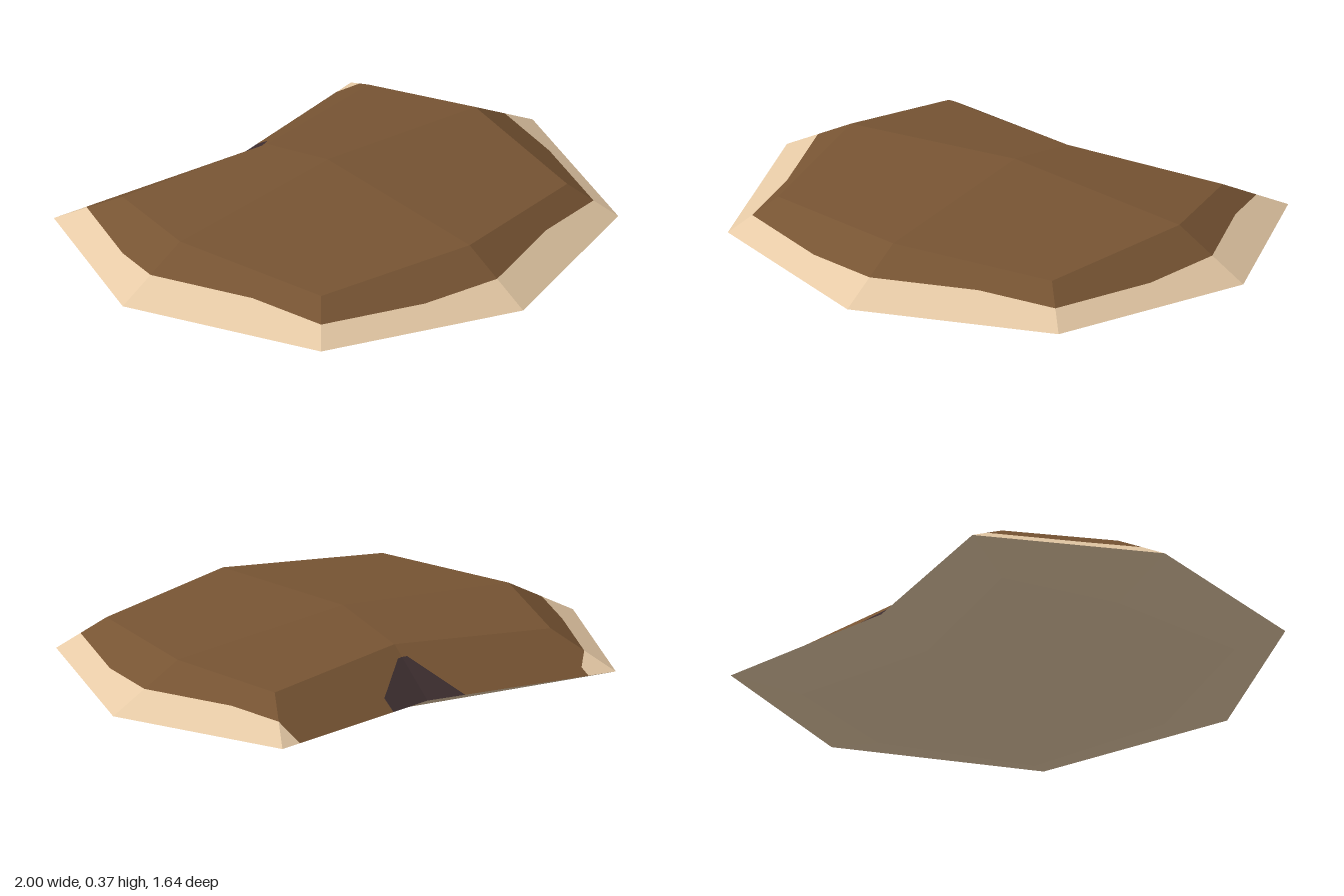
import * as THREE from 'three';

const V = (x, y, z) => new THREE.Vector3(x, y, z);
const mix = (a, b, t) => a.clone().lerp(b, t);

// Half outlines, from front tip round to the back notch: front, front corner, side, back corner, back
const RIM = [[0, 0.818], [0.725, 0.545], [1, -0.18], [0.725, -0.82], [0, -0.69]];
const INNER = [[0, 0.545], [0.6, 0.415], [0.72, -0.18], [0.6, -0.6], [0, -0.49]];
const RIM_Y = 0.15;
const TOP_Y = [0.305, 0.275, 0.305, 0.275, 0.305];
const BOTTOM_Y = [0.062, 0.09, 0.062, 0.09, 0.062];
const EDGE = 0.485; // how far up the bevel the pale rim reaches

function material(name, color) {
  const m = new THREE.MeshStandardMaterial({ color });
  m.name = name;
  return m;
}

// Flat shading normal of a four-cornered panel, pointing up (1) or down (-1)
function panelNormal(a, b, c, d, up) {
  const n = c.clone().sub(a).cross(d.clone().sub(b)).normalize();
  return n.y * up < 0 ? n.negate() : n;
}

export function createModel() {
  const group = new THREE.Group();
  group.name = 'shell';
  const parts = {};
  for (const name of ['shellTop', 'paleRim', 'tailPatch', 'underside']) {
    parts[name] = { position: [], normal: [] };
  }

  // Adds a polygon as a fan, wound to face along the panel normal
  const add = (part, n, ...pts) => {
    for (let i = 1; i < pts.length - 1; i++) {
      const tri = [pts[0], pts[i], pts[i + 1]];
      const face = tri[1].clone().sub(tri[0]).cross(tri[2].clone().sub(tri[0]));
      if (face.dot(n) < 0) tri.reverse();
      for (const p of tri) {
        parts[part].position.push(p.x, p.y, p.z);
        parts[part].normal.push(n.x, n.y, n.z);
      }
    }
  };

  for (const s of [1, -1]) {
    const rim = RIM.map(([x, z]) => V(s * x, RIM_Y, z));
    const top = INNER.map(([x, z], i) => V(s * x, TOP_Y[i], z));
    const low = INNER.map(([x, z], i) => V(s * x, BOTTOM_Y[i], z));
    const peak = V(0, 0.365, -0.18);
    const base = V(0, 0, -0.18);

    // Raised middle and belly, two panels each
    for (const k of [0, 2]) {
      const upper = [peak, top[k], top[k + 1], top[k + 2]];
      const lower = [base, low[k], low[k + 1], low[k + 2]];
      add('shellTop', panelNormal(...upper, 1), ...upper);
      add('underside', panelNormal(...lower, -1), ...lower);
    }

    // Bevels, each split on the diagonal from rim point a to inner point c
    for (let k = 0; k < 4; k++) {
      const [a, c] = s > 0 ? [k + 1, k] : [k, k + 1];
      const Oa = rim[a], Oc = rim[c], Ia = top[a], Ic = top[c];
      const n = panelNormal(Oa, Oc, Ic, Ia, 1);
      const under = [Oa, Oc, low[c], low[a]];
      add('underside', panelNormal(...under, -1), ...under);
      const Ba = mix(Oa, Ia, EDGE);
      const Bc = mix(Oc, Ic, EDGE);

      if (k < 3) {
        const D = mix(Oa, Ic, EDGE);
        add('paleRim', n, Oa, Oc, Bc, D);
        add('paleRim', n, Oa, D, Ba);
        add('shellTop', n, D, Bc, Ic);
        add('shellTop', n, D, Ic, Ia, Ba);
      } else if (s > 0) {
        // Back bevel, left: pale corner tip and dark patch beside the notch
        const E = mix(Oa, Oc, 0.88);
        const P = mix(Oa, Oc, 0.235);
        const Q = mix(Oa, Ic, 0.283);
        const T = mix(Oa, Ia, 0.775);
        const T2 = T.clone().addScaledVector(Ic.clone().sub(Ia), 0.033);
        add('paleRim', n, E, Oc, Bc);
        add('tailPatch', n, Oa, P, Q);
        add('tailPatch', n, Oa, Q, T2, T);
        add('shellTop', n, P, E, Bc, Ic, Q);
        add('shellTop', n, T2, Q, Ic, Ia, T);
      } else {
        // Back bevel, right: the same with the opposite diagonal
        const E = mix(Oa, Oc, 0.145);
        const F = mix(Oa, Ic, 0.155);
        const P = mix(Oc, Oa, 0.2);
        const T = mix(Oc, Ic, 0.775);
        const T2 = T.clone().addScaledVector(Oa.clone().sub(Oc), 0.028);
        add('paleRim', n, Oa, E, F);
        add('paleRim', n, Oa, F, Ba);
        add('tailPatch', n, Oc, P, T2, T);
        add('shellTop', n, T2, P, E, F, Ic, T);
        add('shellTop', n, F, Ic, Ia, Ba);
      }
    }
  }

  const brown = material('brown', 0x775433);
  const tan = material('tan', 0xe6caa6);
  const plum = material('dark plum', 0x3d2e30);
  const materials = { shellTop: brown, paleRim: tan, tailPatch: plum, underside: tan };
  for (const [name, data] of Object.entries(parts)) {
    const geo = new THREE.BufferGeometry();
    geo.setAttribute('position', new THREE.Float32BufferAttribute(data.position, 3));
    geo.setAttribute('normal', new THREE.Float32BufferAttribute(data.normal, 3));
    const mesh = new THREE.Mesh(geo, materials[name]);
    mesh.name = name;
    group.add(mesh);
  }
  return group;
}
